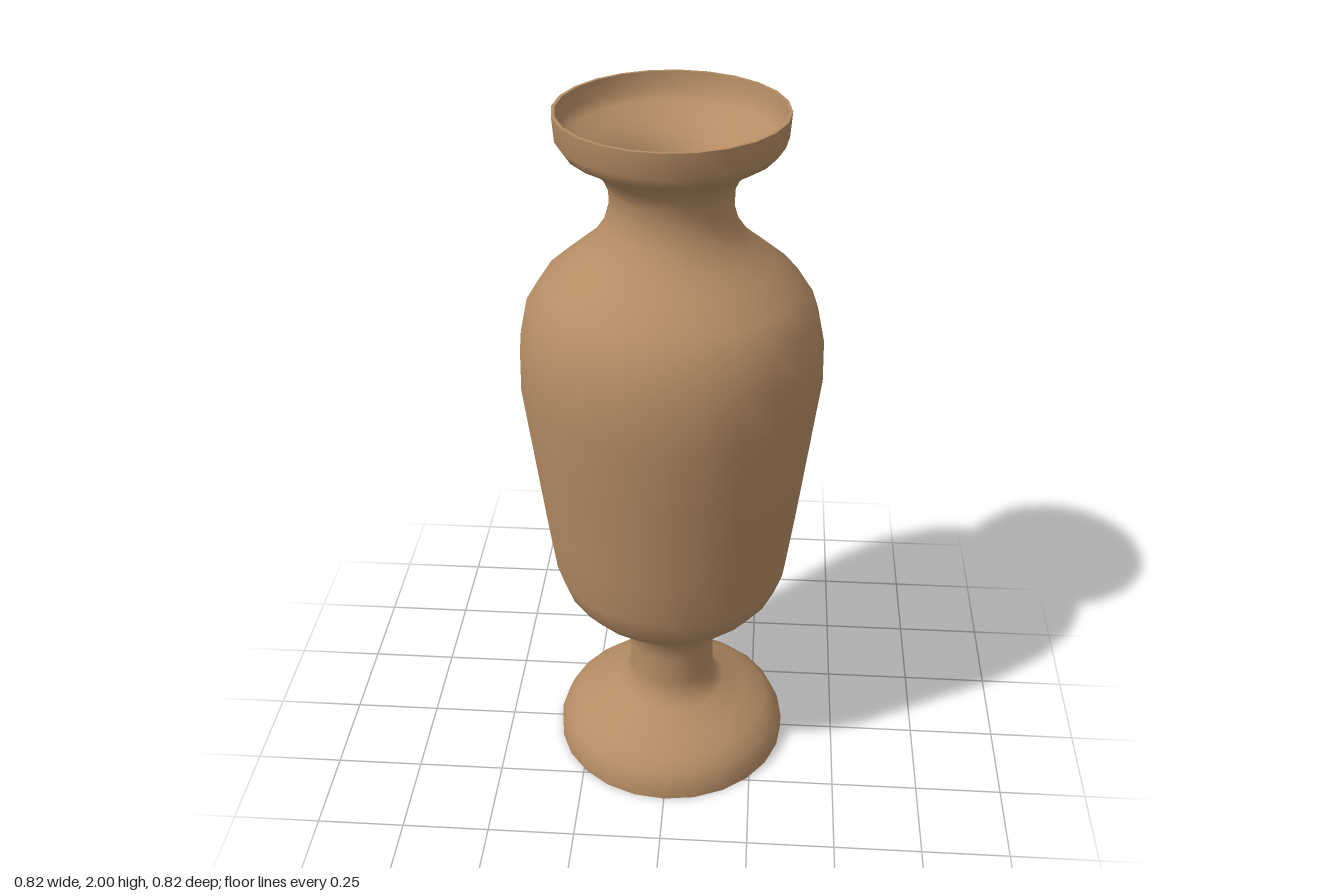
import * as THREE from 'three';

const SIDES = 24;

export function createModel() {
  const clay = new THREE.MeshStandardMaterial({ color: 0xb58c64 });
  clay.name = 'clay';
  const darkClay = new THREE.MeshStandardMaterial({ color: 0x6b5c45 });
  darkClay.name = 'dark clay';

  const group = new THREE.Group();
  group.name = 'vase';

  const add = (name, geometry, material) => {
    const mesh = new THREE.Mesh(geometry, material);
    mesh.name = name;
    group.add(mesh);
    return mesh;
  };
  // Turned part from [radius, height] pairs
  const turned = (name, points) =>
    add(name, new THREE.LatheGeometry(points.map(([r, y]) => new THREE.Vector2(r, y)), SIDES), clay);
  // Flat round plate facing up (1) or down (-1)
  const disc = (name, radius, y, facing) => {
    const mesh = add(name, new THREE.CircleGeometry(radius, SIDES), darkClay);
    mesh.rotation.x = -facing * Math.PI / 2;
    mesh.position.y = y;
  };

  // Outer wall: foot, stem, belly, shoulder, neck and lip
  turned('outerWall', [
    [0.343, 0], [0.342, 0.04], [0.325, 0.08], [0.29, 0.115], [0.23, 0.15],
    [0.16, 0.185], [0.132, 0.215], [0.125, 0.26], [0.125, 0.35], [0.131, 0.4],
    [0.16, 0.44], [0.21, 0.48], [0.27, 0.53], [0.31, 0.58], [0.335, 0.65],
    [0.355, 0.8], [0.385, 1.05], [0.409, 1.25], [0.406, 1.37], [0.385, 1.47],
    [0.34, 1.54], [0.27, 1.6], [0.21, 1.65], [0.175, 1.7], [0.16, 1.75],
    [0.162, 1.8], [0.18, 1.84], [0.22, 1.875], [0.272, 1.905], [0.292, 1.935], [0.297, 2],
  ]);

  // Flat edges of the lip and the foot
  turned('lipEdge', [[0.297, 2], [0.288, 2]]);
  turned('footEdge', [[0.333, 0], [0.343, 0]]);

  // Inside of the lip and throat
  turned('throat', [
    [0.288, 2], [0.283, 1.955], [0.262, 1.93], [0.205, 1.9], [0.165, 1.87],
    [0.14, 1.83], [0.127, 1.78], [0.125, 1.69],
  ]);

  // Hollow underside of the foot
  turned('footHollow', [[0.235, 0.097], [0.28, 0.08], [0.315, 0.05], [0.33, 0.025], [0.333, 0]]);

  // Dark plates closing the throat and the foot
  disc('throatFloor', 0.127, 1.69, 1);
  disc('footPlate', 0.238, 0.096, -1);

  return group;
}
